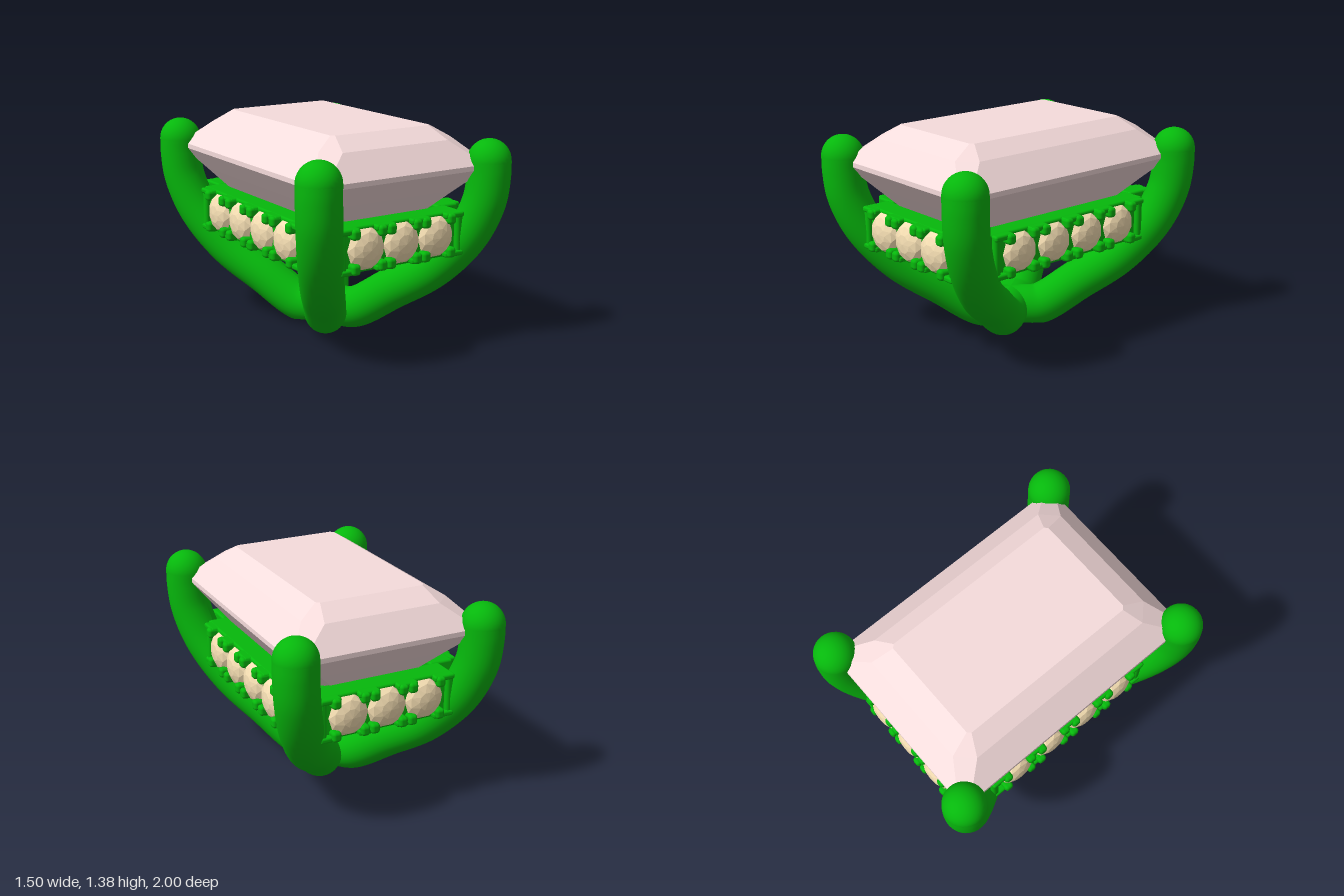
import * as THREE from 'three';
import { RoundedBoxGeometry } from 'three/addons/geometries/RoundedBoxGeometry.js';

const metal = new THREE.MeshStandardMaterial({ color: 0x06b80c });
const pink = new THREE.MeshStandardMaterial({ color: 0xf6dcdc, flatShading: true });
const tan = new THREE.MeshStandardMaterial({ color: 0xf7e0b4, flatShading: true });

function mesh(name, geometry, material, x = 0, y = 0, z = 0) {
  const m = new THREE.Mesh(geometry, material);
  m.name = name;
  m.position.set(x, y, z);
  return m;
}

// Faceted solid through rings of equal length, listed from bottom to top
function loft(rings) {
  const pos = [];
  const n = rings[0].length;
  for (let i = 0; i < rings.length - 1; i++) {
    for (let j = 0; j < n; j++) {
      const k = (j + 1) % n;
      const a = rings[i][j], b = rings[i][k], c = rings[i + 1][k], d = rings[i + 1][j];
      for (const p of [a, b, d, b, c, d]) pos.push(...p);
    }
  }
  const g = new THREE.BufferGeometry();
  g.setAttribute('position', new THREE.Float32BufferAttribute(pos, 3));
  g.computeVertexNormals();
  return g;
}

// Rectangle with cut corners
function cutRect(y, hx, hz, c) {
  const x = hx - c, z = hz - c;
  return [[hx, y, z], [hx, y, -z], [x, y, -hz], [-x, y, -hz],
    [-hx, y, -z], [-hx, y, z], [-x, y, hz], [x, y, hz]];
}

function polygon(y, r, turn = 0, n = 10) {
  return Array.from({ length: n }, (_, j) => {
    const a = ((j + turn) / n) * Math.PI * 2;
    return [r * Math.cos(a), y, -r * Math.sin(a)];
  });
}

// Curved leg rising from the base centre to a rounded claw tip
function makeLeg(sx, sz) {
  const leg = new THREE.Group();
  leg.name = 'cornerLeg';
  const points = [[0, 0.133, 0], [0.05, 0.133, 0.07], [0.115, 0.14, 0.16], [0.26, 0.295, 0.368],
    [0.415, 0.468, 0.588], [0.54, 0.7, 0.762], [0.6, 0.92, 0.846], [0.615, 1.09, 0.865], [0.615, 1.18, 0.865]]
    .map(([x, y, z]) => new THREE.Vector3(x * sx, y, z * sz));
  const tube = new THREE.TubeGeometry(new THREE.CatmullRomCurve3(points), 72, 0.135, 32);
  // Shallow arch hollowed along the underside of the base
  const p = tube.attributes.position;
  for (let i = 0; i < p.count; i++) {
    const floor = Math.max(0, 0.04 - 1.2 * p.getZ(i) ** 2);
    if (p.getY(i) < floor) p.setY(i, floor);
  }
  tube.computeVertexNormals();
  leg.add(mesh('legShaft', tube, metal));
  leg.add(mesh('clawTip', new THREE.SphereGeometry(0.135, 32, 20), metal, ...points.at(-1).toArray()));
  return leg;
}

// Straight rail set with a row of small stones, facing +z
function makeRail(count, pitch, halfLength, radius, face) {
  const rail = new THREE.Group();
  rail.name = 'stoneRail';
  rail.add(mesh('railBar', new RoundedBoxGeometry(halfLength * 2, 0.28, 0.16, 3, 0.015),
    metal, 0, 0.74, face - 0.08));
  const stone = loft([polygon(-0.03, radius * 0.95), polygon(0.005, radius),
    polygon(0.035, radius * 0.82, 0.5), polygon(0.055, radius * 0.45, 1), polygon(0.062, 0, 1)]);
  stone.rotateX(Math.PI / 2);
  const claw = new RoundedBoxGeometry(0.058, 0.066, 0.1, 3, 0.02);
  const bridge = new RoundedBoxGeometry(0.14, 0.036, 0.08, 3, 0.014);
  for (let i = 0; i < count; i++) {
    const x = (i - (count - 1) / 2) * pitch;
    rail.add(mesh('smallStone', stone, tan, x, 0.74, face));
    for (const sx of [-1, 1]) for (const sy of [-1, 1]) {
      rail.add(mesh('stoneClaw', claw, metal, x + sx * 0.095, 0.74 + sy * 0.105, face + 0.01));
    }
  }
  // Bridges joining the claws of neighbouring stones
  for (let i = 0; i <= count; i++) {
    for (const sy of [-1, 1]) {
      rail.add(mesh('clawBridge', bridge, metal, (i - count / 2) * pitch, 0.74 + sy * 0.121, face));
    }
  }
  // Upright closing each end of the row
  const post = new RoundedBoxGeometry(0.05, 0.275, 0.08, 3, 0.02);
  for (const sx of [-1, 1]) {
    rail.add(mesh('endPost', post, metal, sx * (count * pitch / 2 + 0.045), 0.74, face - 0.01));
  }
  return rail;
}

export function createModel() {
  const model = new THREE.Group();
  model.name = 'gemSetting';

  // Large step-cut stone
  model.add(mesh('centreStone', loft([
    cutRect(0.56, 0, 0, 0),
    cutRect(0.86, 0.41, 0.65, 0.13),
    cutRect(1.0, 0.522, 0.772, 0.1),
    cutRect(1.13, 0.625, 0.88, 0.05),
    cutRect(1.16, 0.625, 0.88, 0.05),
    cutRect(1.31, 0.48, 0.75, 0.1),
    cutRect(1.385, 0.36, 0.61, 0.02),
    cutRect(1.385, 0, 0, 0),
  ]), pink));

  // Four legs meeting at the base
  for (const sx of [-1, 1]) for (const sz of [-1, 1]) model.add(makeLeg(sx, sz));
  const hub = mesh('baseHub', new THREE.SphereGeometry(0.135, 32, 20), metal, 0, 0.15, 0);
  hub.scale.y = 0.8;
  model.add(hub);

  // Rails: short ones front and back, long ones on the sides
  for (let k = 0; k < 4; k++) {
    const rail = k % 2 ? makeRail(4, 0.277, 0.65, 0.127, 0.555) : makeRail(3, 0.255, 0.45, 0.13, 0.805);
    rail.rotation.y = k * Math.PI / 2;
    model.add(rail);
  }
  return model;
}
